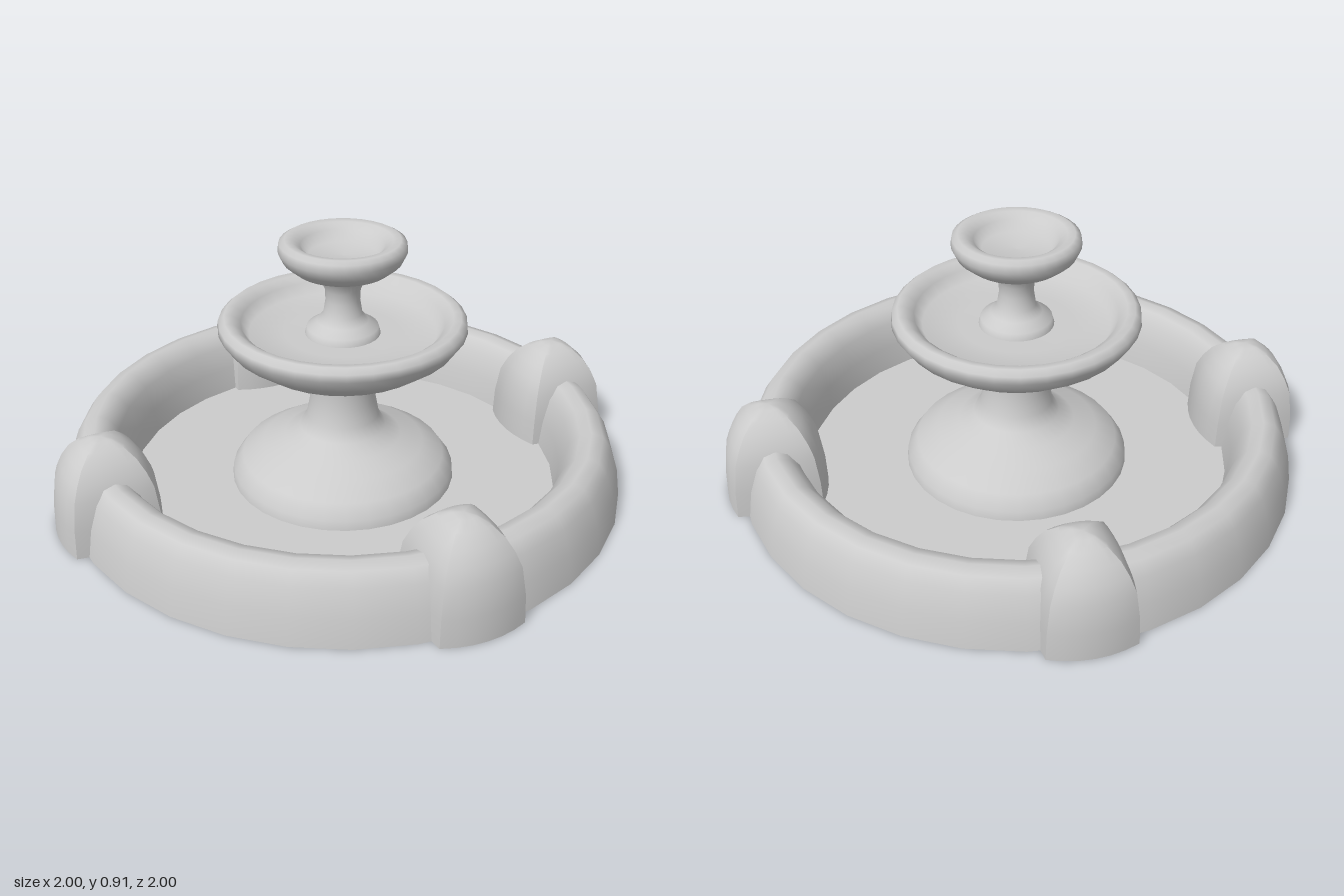
import * as THREE from 'three';
import { toCreasedNormals } from 'three/addons/utils/BufferGeometryUtils.js';

const material = new THREE.MeshStandardMaterial({ color: 0xcccccc, side: THREE.DoubleSide });

function addMesh(parent, name, geometry) {
  const mesh = new THREE.Mesh(geometry, material);
  mesh.name = name;
  parent.add(mesh);
  return mesh;
}

// Turned part from [radius, height] pairs
function turned(points, segments) {
  return new THREE.LatheGeometry(points.map(([r, y]) => new THREE.Vector2(r, y)), segments);
}

// Domed post: a square section with bulging sides, shrinking towards the top.
// Local x is tangent to the basin, local z points outwards.
function postGeometry() {
  const half = 0.148, bulgeX = 0.012, bulgeZ = 0.03, perSide = 6;
  const levels = [[0, 1], [0.1, 0.98], [0.2, 0.9], [0.25, 0.78], [0.295, 0.62],
    [0.33, 0.4], [0.349, 0.2], [0.355, 0]];
  const n = perSide * 4;
  const positions = [], indices = [];
  for (const [y, s] of levels) {
    for (let i = 0; i < n; i++) {
      const side = Math.floor(i / perSide);
      const t = (i % perSide) / perSide * 2 - 1;
      const out = half + (side % 2 ? bulgeX : bulgeZ) * (1 - t * t);
      const along = half * t;
      const [x, z] = [[along, out], [out, -along], [-along, -out], [-out, along]][side];
      positions.push(x * s, y, z * s);
    }
  }
  for (let j = 0; j < levels.length - 1; j++) {
    for (let i = 0; i < n; i++) {
      const a = j * n + i, b = j * n + (i + 1) % n;
      indices.push(a, b, b + n);
      if (j < levels.length - 2) indices.push(a, b + n, a + n);
    }
  }
  const geometry = new THREE.BufferGeometry();
  geometry.setAttribute('position', new THREE.Float32BufferAttribute(positions, 3));
  geometry.setIndex(indices);
  return toCreasedNormals(geometry, 0.7);
}

export function createModel() {
  const fountain = new THREE.Group();
  fountain.name = 'fountain';

  // Basin: rounded ring wall and a thin eight-sided floor
  addMesh(fountain, 'basinRim', turned([
    [1, 0], [0.985, 0.1], [0.955, 0.185], [0.925, 0.228], [0.885, 0.24],
    [0.845, 0.228], [0.81, 0.185], [0.782, 0.1], [0.768, 0],
  ], 32));
  const floor = addMesh(fountain, 'basinFloor', new THREE.CylinderGeometry(0.955, 0.955, 0.004, 8));
  floor.position.y = 0.004;

  // Four posts straddling the rim
  const post = postGeometry();
  for (let i = 0; i < 4; i++) {
    const angle = Math.PI / 4 + i * Math.PI / 2;
    const mesh = addMesh(fountain, 'rimPost', post);
    mesh.position.set(0.877 * Math.sin(angle), 0, 0.877 * Math.cos(angle));
    mesh.rotation.y = angle;
  }

  // Pedestal with a domed foot
  addMesh(fountain, 'pedestal', turned([
    [0.405, 0], [0.4, 0.04], [0.365, 0.09], [0.29, 0.135], [0.21, 0.165], [0.155, 0.2],
    [0.13, 0.245], [0.118, 0.31], [0.114, 0.37], [0.12, 0.42], [0.14, 0.445],
  ], 32));

  // Lower bowl with a rolled lip
  addMesh(fountain, 'lowerBowl', turned([
    [0.1, 0.43], [0.15, 0.438], [0.32, 0.482], [0.4, 0.54], [0.435, 0.59], [0.432, 0.617],
    [0.412, 0.634], [0.385, 0.632], [0.355, 0.61], [0.328, 0.57], [0.2, 0.565], [0, 0.565],
  ], 32));

  // Upper stem flaring at both ends
  addMesh(fountain, 'upperStem', turned([
    [0.132, 0.565], [0.125, 0.59], [0.09, 0.612], [0.068, 0.64], [0.06, 0.69],
    [0.062, 0.73], [0.078, 0.77], [0.1, 0.79],
  ], 32));

  // Upper bowl
  addMesh(fountain, 'upperBowl', turned([
    [0.06, 0.78], [0.105, 0.785], [0.165, 0.805], [0.205, 0.838], [0.221, 0.872], [0.217, 0.9],
    [0.198, 0.911], [0.172, 0.908], [0.145, 0.89], [0.118, 0.855], [0, 0.85],
  ], 32));

  return fountain;
}
